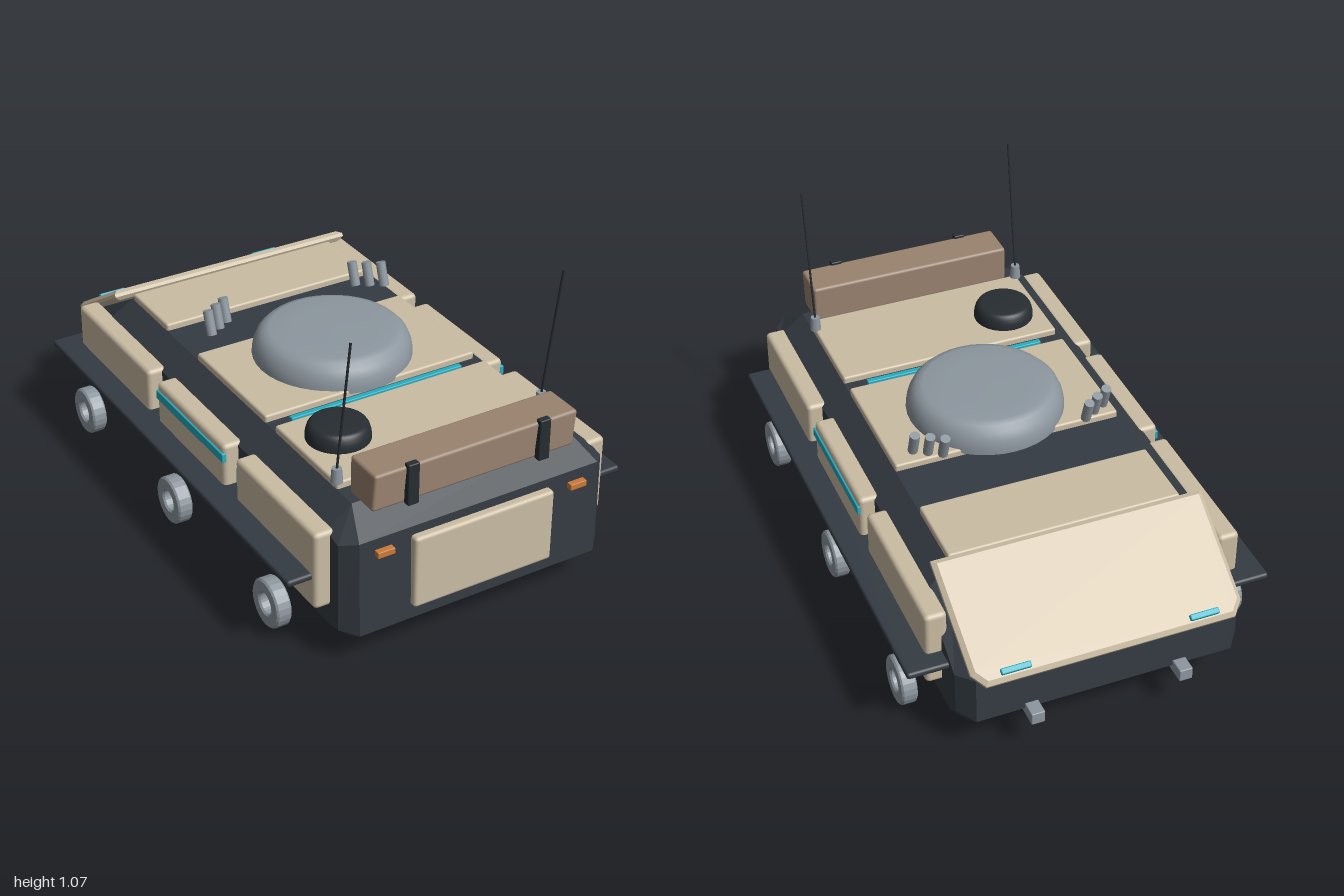
import * as THREE from 'three';
import { RoundedBoxGeometry } from 'three/addons/geometries/RoundedBoxGeometry.js';

const mat = (name, color) => Object.assign(new THREE.MeshStandardMaterial({ color }), { name });

// Flat-shaded solid from equal rings of [x, y, z], ordered along +x
function loft(rings) {
  const v = [], n = rings[0].length, last = rings[rings.length - 1];
  for (let i = 0; i < rings.length - 1; i++) {
    for (let j = 0; j < n; j++) {
      const a = rings[i], b = rings[i + 1], k = (j + 1) % n;
      v.push(...a[j], ...b[j], ...b[k], ...a[j], ...b[k], ...a[k]);
    }
  }
  for (let j = 1; j < n - 1; j++) {
    v.push(...rings[0][0], ...rings[0][j], ...rings[0][j + 1]);
    v.push(...last[0], ...last[j + 1], ...last[j]);
  }
  const g = new THREE.BufferGeometry();
  g.setAttribute('position', new THREE.Float32BufferAttribute(v, 3));
  g.computeVertexNormals();
  return g;
}

// Ring-shaped wheel with its axle along x
function wheelGeometry(r, hole, width) {
  const s = new THREE.Shape().absarc(0, 0, r, 0, Math.PI * 2);
  s.holes.push(new THREE.Path().absarc(0, 0, hole, 0, Math.PI * 2, true));
  const b = 0.006;
  const g = new THREE.ExtrudeGeometry(s, {
    depth: width - 2 * b, bevelEnabled: true, bevelSize: b, bevelThickness: b, bevelOffset: -b,
    bevelSegments: 1, curveSegments: 12,
  });
  return g.translate(0, 0, b - width / 2).rotateY(Math.PI / 2);
}

export function createModel() {
  const root = new THREE.Group();
  root.name = 'armouredVehicle';
  const dark = mat('hullCharcoal', 0x343b42);
  const tan = mat('armourTan', 0xcbbda4);
  const grey = mat('metalGrey', 0x8d979f);
  const teal = mat('tealLight', 0x25aec2);
  const brown = mat('stowageBrown', 0x9a8370);
  const orange = mat('signalOrange', 0xcc7a3a);
  const black = mat('hatchBlack', 0x272d32);

  const add = (name, geo, m, x = 0, y = 0, z = 0, parent = root) => {
    const mesh = new THREE.Mesh(geo, m);
    mesh.name = name;
    mesh.position.set(x, y, z);
    parent.add(mesh);
    return mesh;
  };
  // Rounded block given by its minimum and maximum corners
  const block = (name, m, x0, x1, y0, y1, z0, z1, r = 0.008) =>
    add(name, new RoundedBoxGeometry(x1 - x0, y1 - y0, z1 - z0, 2, r), m,
      (x0 + x1) / 2, (y0 + y1) / 2, (z0 + z1) / 2);

  // Hull: side profile with chamfered edges all round
  const outer = [[0.437, 0.07, 0.90], [0.44, 0.12, 0.98], [0.44, 0.455, 0.97], [0.4, 0.525, 0.86],
    [0.4, 0.525, -0.62], [0.44, 0.32, -0.94], [0.44, 0.15, -0.945], [0.437, 0.07, -0.85]];
  const side = [[0.12, 0.88], [0.13, 0.93], [0.44, 0.925], [0.455, 0.86],
    [0.455, -0.64], [0.31, -0.88], [0.16, -0.885], [0.12, -0.84]].map(([y, z]) => [0.487, y, z]);
  const flip = (ring) => ring.map(([x, y, z]) => [-x, y, z]);
  add('hull', loft([flip(side), flip(outer), outer, side]), dark);

  // Belly plate, tapering downwards
  const belly = (x, z0, z1) => [[x, 0.03, z1 - 0.03], [x, 0.08, z1], [x, 0.08, z0], [x, 0.03, z0 + 0.03]];
  const bellyEnd = (x) => belly(x, -0.58, 0.6).map(([, y, z]) => [x * (y > 0.05 ? 1.1 : 1), y, z]);
  add('bellyPlate', loft([bellyEnd(-0.3), belly(-0.27, -0.6, 0.62), belly(0.27, -0.6, 0.62), bellyEnd(0.3)]), dark);

  // Roof panels and roof light
  for (const [z0, z1] of [[-0.61, -0.35], [-0.13, 0.335], [0.395, 0.775]]) {
    block('roofPanel', tan, -0.4, 0.4, 0.505, 0.549, z0, z1);
  }
  block('roofLight', teal, -0.325, 0.325, 0.515, 0.539, 0.355, 0.375, 0.003);

  // Sloped rear plate with its lamps
  const rear = new THREE.Group();
  rear.name = 'slopedPlate';
  rear.position.set(0, 0.54, -0.63);
  rear.rotation.x = Math.atan2(-0.848, -0.53);
  root.add(rear);
  const plate = new THREE.Shape([[-0.45, 0], [0.45, 0], [0.445, 0.36], [0.415, 0.398], [-0.415, 0.398], [-0.445, 0.36]]
    .map(([x, y]) => new THREE.Vector2(x, y)));
  add('rearArmour', new THREE.ExtrudeGeometry(plate, {
    depth: 0.012, bevelSize: 0.015, bevelThickness: 0.012, bevelSegments: 1,
  }), tan, 0, 0, 0, rear);

  const bigWheel = wheelGeometry(0.083, 0.036, 0.053);
  const smallWheel = wheelGeometry(0.056, 0.026, 0.037);
  for (const s of [-1, 1]) {
    const sideBlock = (name, m, x0, x1, ...rest) =>
      block(name, m, Math.min(s * x0, s * x1), Math.max(s * x0, s * x1), ...rest);

    // Side armour, lights and rail
    for (const [z0, z1] of [[0.385, 0.88], [-0.16, 0.31], [-0.77, -0.225]]) {
      sideBlock('sidePanel', tan, 0.465, 0.54, 0.19, 0.467, z0, z1, 0.016);
    }
    sideBlock('sideLight', teal, 0.53, 0.546, 0.405, 0.438, -0.155, 0.31, 0.003);
    sideBlock('sideLightStrip', teal, 0.48, 0.515, 0.27, 0.4, 0.345, 0.357, 0.003);
    sideBlock('sideRail', dark, 0.475, 0.624, 0.294, 0.317, -0.834, 0.862, 0.009);

    // Wheels
    for (const z of [0.68, 0.02, -0.64]) add('wheel', bigWheel, grey, s * 0.577, 0.112, z);
    for (const z of [0.455, -0.415]) add('innerWheel', smallWheel, grey, s * 0.385, 0.057, z);

    // Front signals, rear lamps and tow hooks
    sideBlock('frontSignal', orange, 0.325, 0.386, 0.395, 0.417, 0.95, 0.992, 0.003);
    add('rearLamp', new RoundedBoxGeometry(0.1, 0.02, 0.016, 2, 0.004), teal, s * 0.32, 0.383, 0.028, rear);
    sideBlock('towHook', grey, 0.232, 0.278, 0.125, 0.17, -1.0, -0.92, 0.004);

    // Stowage strap
    sideBlock('strap', black, 0.22, 0.26, 0.52, 0.665, 0.93, 0.955, 0.004);

    // Launcher tubes beside the dome
    for (const [x, z] of [[0.255, -0.2], [0.297, -0.173], [0.34, -0.147]]) {
      add('launcherTube', new THREE.CylinderGeometry(0.017, 0.017, 0.085, 12), grey, s * x, 0.64, z)
        .rotation.x = -0.32;
    }

    // Leaning antenna on a small base
    const z = s > 0 ? 0.72 : 0.765;
    add('antennaBase', new THREE.CylinderGeometry(0.016, 0.02, 0.05, 12), grey, s * 0.395, 0.572, z);
    const mast = new THREE.LineCurve3(new THREE.Vector3(s * 0.395, 0.59, z), new THREE.Vector3(s * 0.395, 1.07, z + 0.074));
    add('antennaMast', new THREE.TubeGeometry(mast, 1, 0.004, 8), black);
  }

  // Front plate and stowage box
  block('frontPlate', tan, -0.257, 0.257, 0.167, 0.425, 0.95, 1.0, 0.012);
  const box = block('stowageBox', brown, -0.37, 0.37, 0.52, 0.655, 0.8, 0.942, 0.01);
  const p = box.geometry.attributes.position;
  for (let i = 0; i < p.count; i++) if (p.getY(i) < 0 && p.getZ(i) > 0) p.setZ(i, p.getZ(i) - 0.012);

  // Rounded turret dome and roof hatch
  const dome = (name, m, r, h, x, y, z) => {
    const pts = [[1, 0], [1, 0.2], [0.985, 0.45], [0.94, 0.72], [0.87, 0.9], [0.78, 0.975], [0.5, 1], [0, 1.01]]
      .map(([a, b]) => new THREE.Vector2(a * r, b * h));
    add(name, new THREE.LatheGeometry(pts, 40), m, x, y, z);
  };
  dome('turretDome', grey, 0.27, 0.105, 0, 0.535, 0.08);
  dome('roofHatch', black, 0.106, 0.06, -0.26, 0.545, 0.55);

  return root;
}
